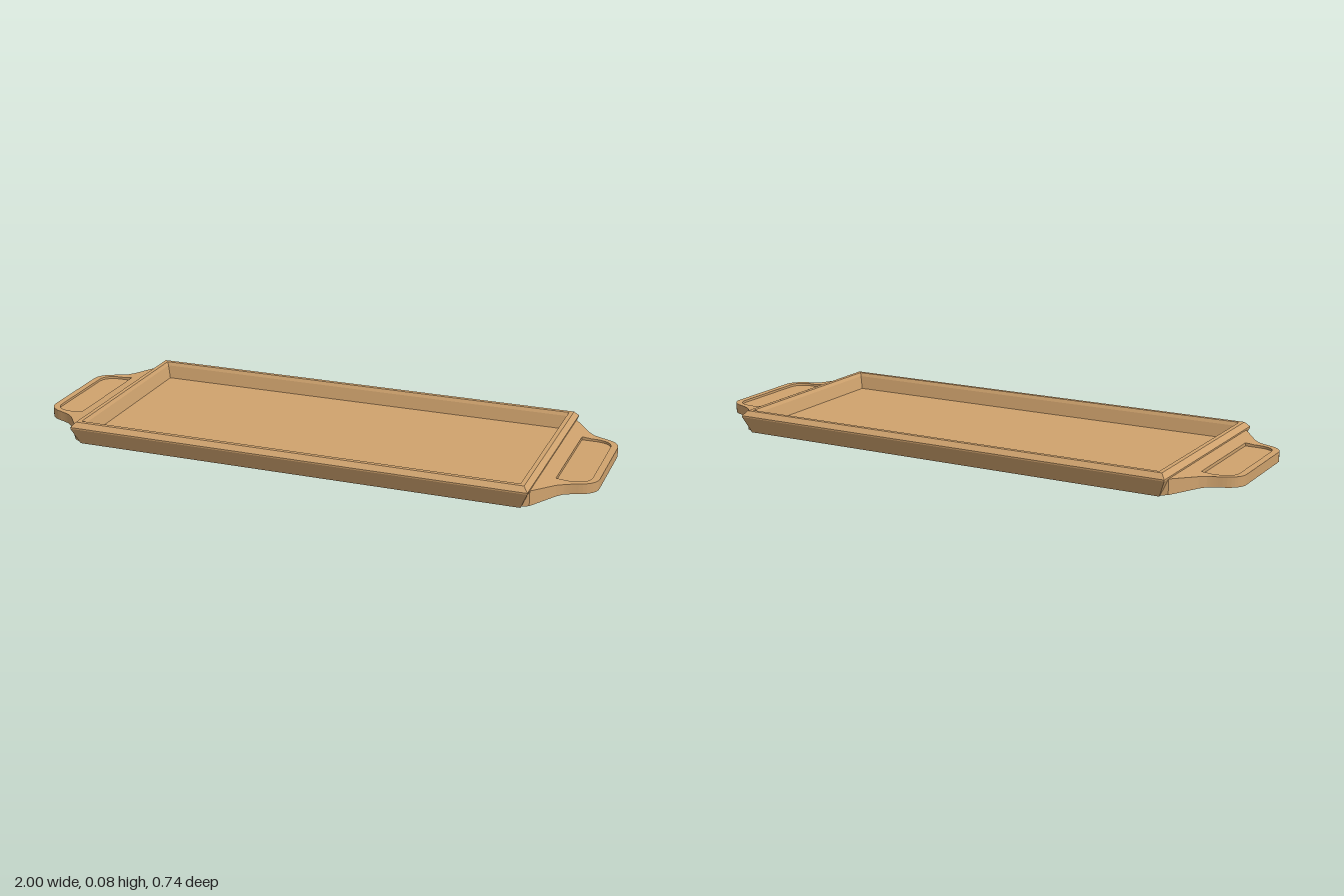
import * as THREE from 'three';

const wood = new THREE.MeshStandardMaterial({ color: 0xd0a36e, flatShading: true });

// Tray body: nested rectangular loops [halfX, y, halfZ] from the underside, over the rim, to the floor
function trayGeometry() {
  const loops = [
    [0, 0, 0], [0.79, 0, 0.35], [0.815, 0.058, 0.372], [0.815, 0.063, 0.372], [0.80, 0.08, 0.357],
    [0.785, 0.08, 0.342], [0.779, 0.068, 0.336], [0.768, 0.022, 0.326], [0, 0.022, 0],
  ];
  const corners = [[1, 1], [1, -1], [-1, -1], [-1, 1]];
  const pos = [], idx = [];
  for (const [x, y, z] of loops)
    for (const [sx, sz] of corners) pos.push(x * sx, y, z * sz);
  for (let i = 0; i < loops.length - 1; i++)
    for (let j = 0; j < 4; j++) {
      const a = i * 4 + j, b = i * 4 + (j + 1) % 4;
      idx.push(a, b, b + 4, a, b + 4, a + 4);
    }
  let g = new THREE.BufferGeometry();
  g.setAttribute('position', new THREE.Float32BufferAttribute(pos, 3));
  g.setIndex(idx);
  g = g.toNonIndexed();
  g.computeVertexNormals();
  return g;
}

// Extrudes a plan shape (x, z) between a bottom and a top height that vary with x
function slab(shape, bottom, top) {
  const g = new THREE.ExtrudeGeometry(shape, { depth: 1, bevelEnabled: false, curveSegments: 8 });
  g.rotateX(-Math.PI / 2);
  const p = g.attributes.position;
  for (let i = 0; i < p.count; i++) {
    const x = p.getX(i);
    p.setY(i, THREE.MathUtils.lerp(bottom(x), top(x), p.getY(i)));
  }
  g.computeVertexNormals();
  return g;
}

const K = 0.9; // where the sloping neck meets the level grip
const topY = x => 0.05 + Math.max(0, K - x) * 0.09;
const bottomY = x => 0.015 - Math.max(0, K - x) * 0.115;

function createHandle() {
  const handle = new THREE.Group();
  const add = (name, geometry) => {
    const m = new THREE.Mesh(geometry, wood);
    m.name = name;
    handle.add(m);
  };

  // Flared neck joining the tray, notched for the recess
  const neck = new THREE.Shape();
  neck.moveTo(0.792, -0.345);
  neck.lineTo(0.815, -0.338);
  neck.lineTo(0.88, -0.25);
  neck.lineTo(K, -0.232);
  neck.lineTo(K, -0.195);
  neck.lineTo(0.866, -0.195);
  neck.lineTo(0.866, 0.195);
  neck.lineTo(K, 0.195);
  neck.lineTo(K, 0.232);
  neck.lineTo(0.88, 0.25);
  neck.lineTo(0.815, 0.338);
  neck.lineTo(0.792, 0.345);
  add('handleNeck', slab(neck, bottomY, topY));

  // Rounded rim of the grip
  const grip = new THREE.Shape();
  grip.moveTo(K, -0.232);
  grip.quadraticCurveTo(0.915, -0.222, 0.945, -0.211);
  grip.quadraticCurveTo(1, -0.19, 1, -0.145);
  grip.lineTo(1, 0.145);
  grip.quadraticCurveTo(1, 0.19, 0.945, 0.211);
  grip.quadraticCurveTo(0.915, 0.222, K, 0.232);
  grip.lineTo(K, 0.195);
  grip.lineTo(0.918, 0.195);
  grip.quadraticCurveTo(0.976, 0.19, 0.976, 0.14);
  grip.lineTo(0.976, -0.14);
  grip.quadraticCurveTo(0.976, -0.19, 0.918, -0.195);
  grip.lineTo(K, -0.195);
  add('handleGrip', slab(grip, bottomY, topY));

  // Thin sunken panel inside the grip
  const panel = new THREE.Shape();
  panel.moveTo(0.864, -0.197);
  panel.lineTo(0.918, -0.197);
  panel.quadraticCurveTo(0.978, -0.192, 0.978, -0.14);
  panel.lineTo(0.978, 0.14);
  panel.quadraticCurveTo(0.978, 0.192, 0.918, 0.197);
  panel.lineTo(0.864, 0.197);
  add('handlePanel', slab(panel, () => 0.022, () => 0.042));
  return handle;
}

export function createModel() {
  const model = new THREE.Group();
  model.name = 'servingTray';

  const tray = new THREE.Mesh(trayGeometry(), wood);
  tray.name = 'trayBody';
  model.add(tray);

  // Matching handles at both ends
  ['leftHandle', 'rightHandle'].forEach((name, i) => {
    const handle = createHandle();
    handle.name = name;
    handle.rotation.y = i * Math.PI;
    model.add(handle);
  });
  return model;
}
